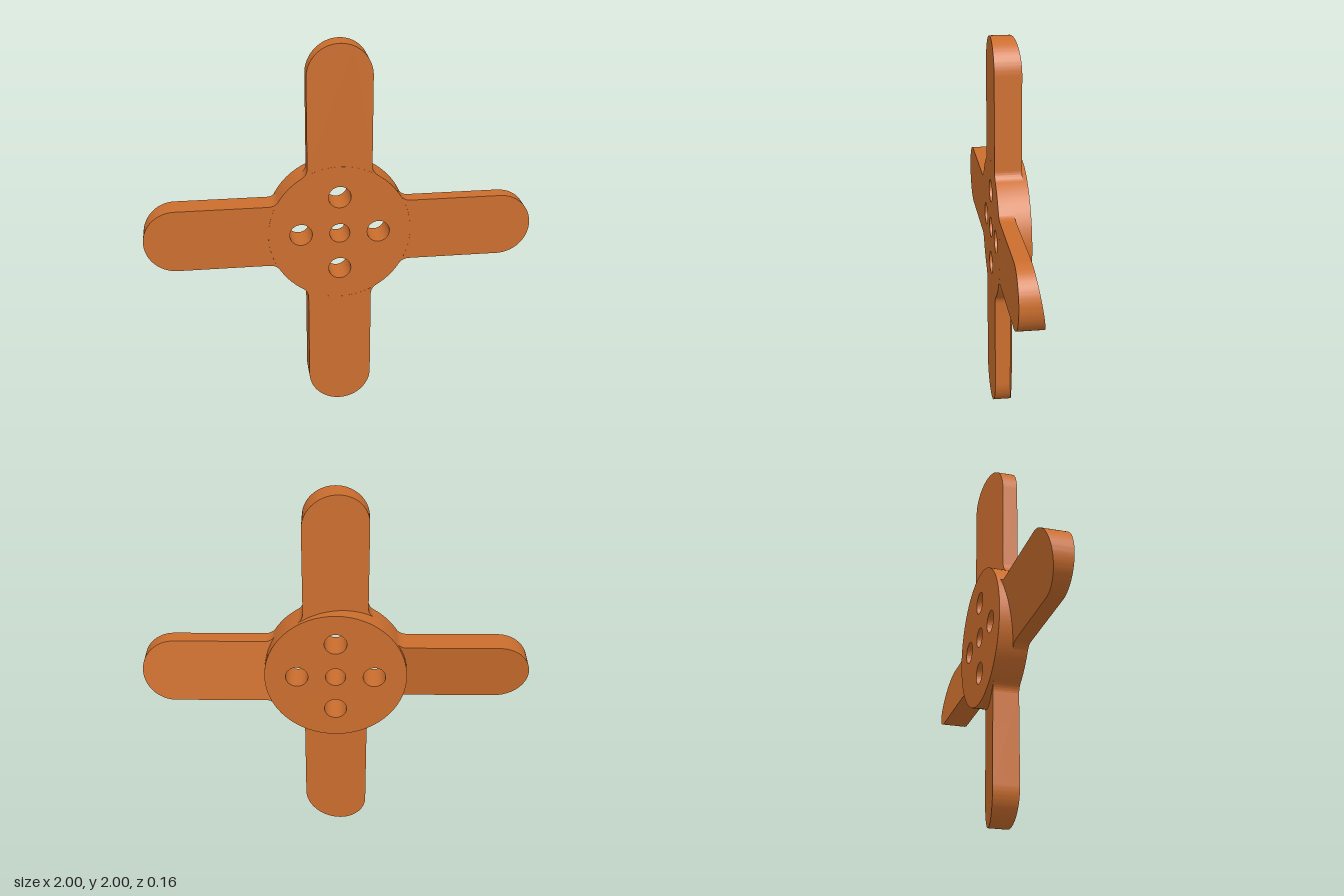
import * as THREE from 'three';
import { toCreasedNormals } from 'three/addons/utils/BufferGeometryUtils.js';

const HUB_R = 0.367, HALF_W = 0.165, FILLET = 0.06, FRONT = 0.08, DEPTH = 0.16;

// Extrude a shape so that it spans z = -0.08 to 0.08
function plate(shape) {
  const geometry = new THREE.ExtrudeGeometry(shape, { depth: DEPTH, bevelEnabled: false, curveSegments: 32 });
  return geometry.translate(0, 0, FRONT - DEPTH);
}

// Round hub with a centre hole and four bolt holes
function hubGeometry() {
  const shape = new THREE.Shape().absarc(0, 0, HUB_R, 0, Math.PI * 2, false);
  const holes = [[0, 0, 0.052], [0.2, 0, 0.058], [-0.2, 0, 0.058], [0, 0.2, 0.058], [0, -0.2, 0.058]];
  for (const [x, y, r] of holes) {
    shape.holes.push(new THREE.Path().absarc(x, y, r, 0, Math.PI * 2, true));
  }
  return toCreasedNormals(plate(shape), 0.6);
}

// Upright blade: round tip, filleted root, back face sloping across the width
function bladeGeometry() {
  const cx = HALF_W + FILLET;
  const cy = Math.sqrt((HUB_R + FILLET) ** 2 - cx ** 2);
  const a = Math.atan2(cy, cx);
  const shape = new THREE.Shape();
  shape.absarc(cx, cy, FILLET, a - Math.PI, -Math.PI, true);
  shape.absarc(0, 1 - HALF_W, HALF_W, 0, Math.PI, false);
  shape.absarc(-cx, cy, FILLET, 0, -a, true);
  shape.absarc(0, 0, HUB_R, Math.PI - a, a, true);

  const geometry = plate(shape);
  const p = geometry.attributes.position;
  for (let i = 0; i < p.count; i++) {
    if (p.getZ(i) < 0) p.setZ(i, -0.028 - 0.17 * p.getX(i));
  }
  return toCreasedNormals(geometry, 0.6);
}

export function createModel() {
  const model = new THREE.Group();
  model.name = 'fourBladeRotor';
  const orange = new THREE.MeshStandardMaterial({ color: 0xcb6e2e });
  orange.name = 'burntOrange';

  const rotor = new THREE.Group();
  rotor.name = 'rotor';
  rotor.position.y = 1;
  model.add(rotor);

  const hub = new THREE.Mesh(hubGeometry(), orange);
  hub.name = 'hub';
  rotor.add(hub);

  // Four blades around the hub
  const geometry = bladeGeometry();
  ['topBlade', 'rightBlade', 'bottomBlade', 'leftBlade'].forEach((name, i) => {
    const blade = new THREE.Mesh(geometry, orange);
    blade.name = name;
    blade.rotation.z = i * Math.PI / 2;
    rotor.add(blade);
  });
  return model;
}
